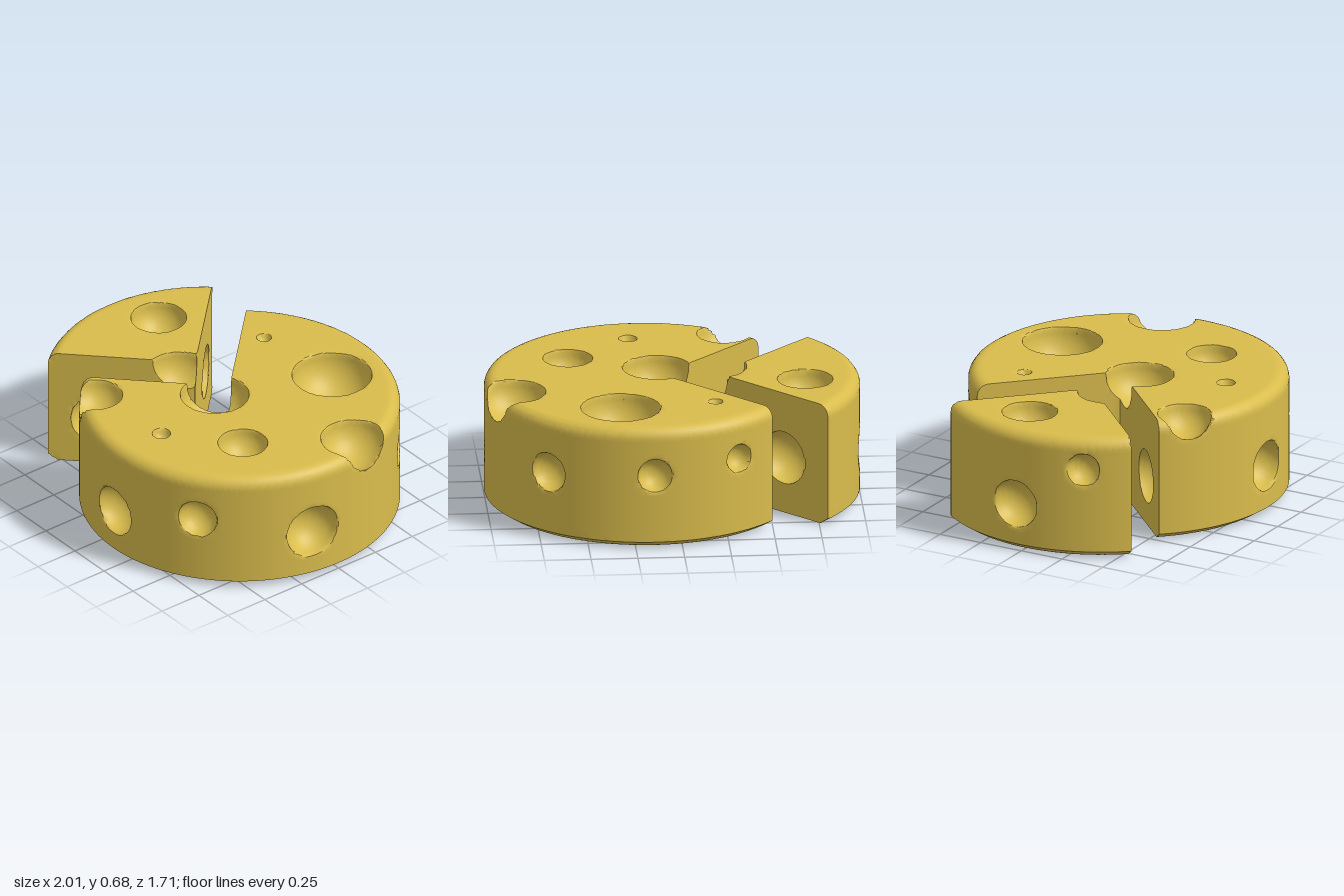
import * as THREE from 'three';
import { toCreasedNormals } from 'three/addons/utils/BufferGeometryUtils.js';

const R = 0.855, H = 0.675, TIP = -0.0875, GAP = 0.1475, STEP = 0.02;

// Round holes in the uncut wheel: x, y, z, radius
const HOLES = [
  // top
  [0.16, 0.66, -0.5, 0.21], [0.72, 0.67, -0.21, 0.175], [0.39, 0.66, 0.285, 0.13],
  [-0.075, 0.66, 0.11, 0.18], [-0.465, 0.67, 0.61, 0.14], [-0.555, 0.66, -0.12, 0.145],
  [-0.35, 0.67, -0.44, 0.035], [0.05, 0.67, 0.57, 0.045],
  // rim
  [0, 0.27, 0.84, 0.135], [0.51, 0.41, 0.69, 0.105], [0.84, 0.29, 0.16, 0.15],
  [0.56, 0.37, -0.65, 0.105], [0, 0.41, -0.855, 0.09], [-0.46, 0.45, -0.72, 0.075],
  [-0.855, 0.26, -0.04, 0.13], [-0.785, 0.5, 0.34, 0.087],
  // along the two cuts
  [-0.455, 0.27, 0.37, 0.145], [-0.425, 0.31, -0.34, 0.145],
];

// Smooth maximum, for softly rounded hole edges
function smoothMax(a, b, k) {
  const h = Math.max(k - Math.abs(a - b), 0) / k;
  return Math.max(a, b) + h * h * k * 0.25;
}

// Wheel with rounded top edge, chamfered bottom edge and holes
function wheel(x, y, z) {
  const r = Math.hypot(x, z), bevel = 0.065;
  const qx = r - R + bevel, qy = y - H + bevel;
  let d = Math.hypot(Math.max(qx, 0), Math.max(qy, 0)) + Math.min(Math.max(qx, qy), 0) - bevel;
  d = Math.max(d, -y, 0.54 * (r - 0.8) - 0.84 * y);
  for (const [hx, hy, hz, hr] of HOLES) {
    d = smoothMax(d, hr - Math.hypot(x - hx, y - hy, z - hz), 0.015);
  }
  return d;
}

// Mesh of a solid (negative inside), keeping sharp edges: one vertex per
// boundary cell, pulled onto the tangent planes where its edges cross the surface
function meshSolid(f, min, max) {
  const n = min.map((m, i) => Math.ceil((max[i] - m) / STEP) + 1);
  const stride = [1, n[0], n[0] * n[1]];
  const values = new Float32Array(n[0] * n[1] * n[2]);
  const at = (g) => g.map((v, i) => min[i] + v * STEP);
  const each = (visit) => {
    for (let k = 0; k < n[2]; k++)
      for (let j = 0; j < n[1]; j++)
        for (let i = 0; i < n[0]; i++) visit([i, j, k], i + j * stride[1] + k * stride[2]);
  };
  each((g, id) => { values[id] = f(...at(g)); });

  const cells = new Map(), quads = [];
  each((g, id) => {
    for (let a = 0; a < 3; a++) {
      if (g[a] + 1 >= n[a]) continue;
      const v0 = values[id], v1 = values[id + stride[a]];
      if ((v0 < 0) === (v1 < 0)) continue;
      // crossing point by bisection
      const p = at(g), start = p[a];
      let lo = 0, hi = STEP;
      for (let s = 0; s < 12; s++) {
        const mid = (lo + hi) / 2;
        p[a] = start + mid;
        if ((f(...p) < 0) === (v0 < 0)) lo = mid; else hi = mid;
      }
      // surface normal there
      const e = 1e-4;
      const normal = [0, 1, 2].map((i) => {
        const q = p.slice(), w = p.slice();
        q[i] += e;
        w[i] -= e;
        return f(...q) - f(...w);
      });
      const len = Math.hypot(...normal) || 1;
      const hit = { p, n: normal.map((c) => c / len) };
      const sb = stride[(a + 1) % 3], sc = stride[(a + 2) % 3];
      const ring = [id, id - sb, id - sb - sc, id - sc];
      for (const c of ring) {
        if (!cells.has(c)) cells.set(c, []);
        cells.get(c).push(hit);
      }
      quads.push(v0 < 0 ? ring : ring.reverse());
    }
  });

  const positions = [], index = new Map();
  for (const [id, hits] of cells) {
    const x = [0, 1, 2].map((i) => hits.reduce((s, h) => s + h.p[i], 0) / hits.length);
    for (let s = 0; s < 25; s++) {
      const move = [0, 0, 0];
      for (const h of hits) {
        const d = h.n.reduce((t, c, i) => t + c * (h.p[i] - x[i]), 0);
        for (let i = 0; i < 3; i++) move[i] += (d * h.n[i]) / hits.length;
      }
      for (let i = 0; i < 3; i++) x[i] += move[i];
    }
    // stay inside the cell
    const g = [id % n[0], Math.floor(id / stride[1]) % n[1], Math.floor(id / stride[2])];
    const low = at(g);
    index.set(id, positions.length / 3);
    positions.push(...x.map((v, i) => Math.min(Math.max(v, low[i]), low[i] + STEP)));
  }
  const faces = [];
  for (const q of quads) {
    const [a, b, c, d] = q.map((id) => index.get(id));
    faces.push(a, b, c, a, c, d);
  }
  const geometry = new THREE.BufferGeometry();
  geometry.setAttribute('position', new THREE.Float32BufferAttribute(positions, 3));
  geometry.setIndex(faces);
  return toCreasedNormals(geometry, 0.7);
}

export function createModel() {
  const group = new THREE.Group();
  const material = new THREE.MeshStandardMaterial({ color: 0xd9bc4c });
  const cut = (x, z) => (x - TIP + Math.abs(z)) * Math.SQRT1_2;

  const addPiece = (name, side, min, max) => {
    const solid = (x, y, z) => Math.max(wheel(x, y, z), side * cut(x, z));
    const mesh = new THREE.Mesh(meshSolid(solid, min, max), material);
    mesh.name = name;
    mesh.position.x = -side * GAP;
    group.add(mesh);
  };
  // Wheel with a quarter missing, and the quarter pulled out to the side
  addPiece('cheeseWheel', -1, [-0.713, -0.033, -0.893], [0.9, 0.73, 0.91]);
  addPiece('cheeseWedge', 1, [-0.893, -0.033, -0.653], [-0.04, 0.73, 0.67]);
  group.children[1].position.x = -GAP;
  group.children[0].position.x = GAP;
  return group;
}
